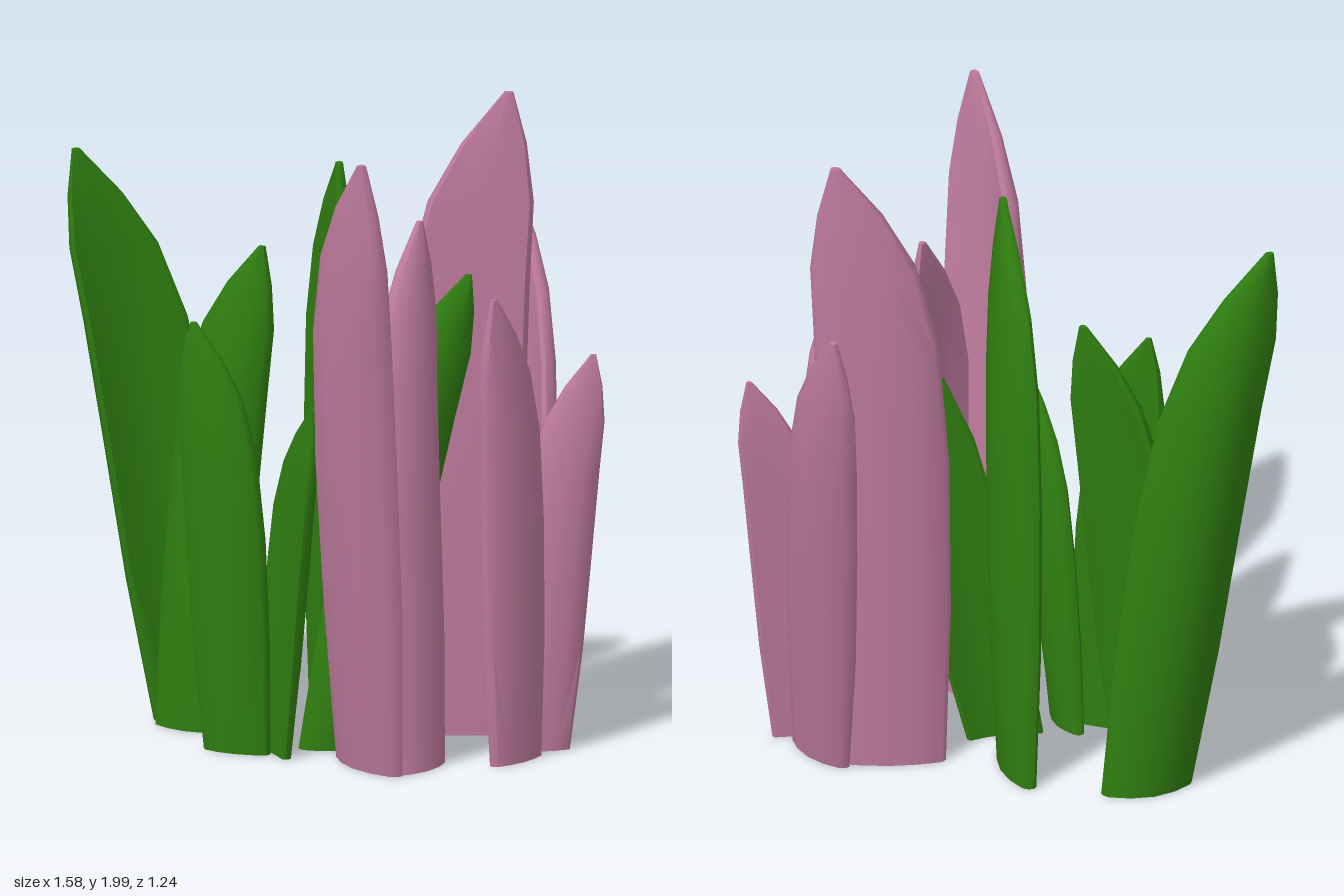
import * as THREE from 'three';
import { toCreasedNormals } from 'three/addons/utils/BufferGeometryUtils.js';

const V = (x, y, z) => new THREE.Vector3(x, y, z);

// height fraction, relative width, relative thickness, relative bow
const RINGS = [
  [0, 0.84, 0.7, 0.45], [0.25, 0.97, 0.95, 0.85], [0.5, 1, 1, 1], [0.7, 0.95, 1, 0.9],
  [0.83, 0.81, 0.85, 0.55], [0.92, 0.5, 0.6, 0.25], [1, 0.07, 0.25, 0],
];
const ACROSS = [-1, -0.92, -0.5, 0, 0.5, 0.92, 1];

// One blade: crescent sections swept from base to an off-centre tip.
// base and width are [x, z]; tip is [x, y, z]; skew moves the tip along the width;
// bulge is the side the convex face looks towards; bow is how strongly it curves.
function bladeGeometry({ base, tip, width, skew, bulge, bow = 0.15 }) {
  const wide = V(width[0], 0, width[1]);
  const out = V(-width[1], 0, width[0]).normalize();
  if (out.x * bulge[0] + out.z * bulge[1] < 0) out.negate();
  const foot = V(base[0], 0.01, base[1]);
  const top = V(...tip).addScaledVector(wide, -skew);
  const depth = bow * wide.length(), thick = 0.02 + 0.2 * wide.length();

  const rings = RINGS.map(([t, w, d, b]) => {
    const k = Math.max(0, (t - 0.55) / 0.45);
    const mid = foot.clone().lerp(top, t).addScaledVector(wide, skew * k * k);
    const point = (u, side) => {
      const curve = depth * b * (0.65 - u * u);
      const skin = side * thick * d * 0.5 * (Math.abs(u) === 1 ? 0.25 : 1 - 0.4 * u * u);
      return mid.clone().addScaledVector(wide, u * w / 2).addScaledVector(out, curve + skin);
    };
    return [...ACROSS.map(u => point(u, 1)), ...ACROSS.slice().reverse().map(u => point(u, -1))];
  });

  const n = rings[0].length, pos = [], index = [];
  rings.forEach(r => r.forEach(p => pos.push(p.x, p.y, p.z)));
  // the section's winding depends on which way the bulge faces
  const flip = wide.clone().cross(out).y > 0;
  const tri = (a, b, c) => index.push(a, ...(flip ? [c, b] : [b, c]));
  for (let r = 0; r < rings.length - 1; r++) {
    for (let i = 0; i < n; i++) {
      const a = r * n + i, b = r * n + (i + 1) % n;
      tri(a, b, b + n);
      tri(a, b + n, a + n);
    }
  }
  // end caps
  const last = (rings.length - 1) * n;
  for (let i = 0; i < n / 2 - 1; i++) {
    const a = i, b = i + 1, c = n - 2 - i, d = n - 1 - i;
    tri(a, c, b); tri(a, d, c);
    tri(last + a, last + b, last + c); tri(last + a, last + c, last + d);
  }
  const geo = new THREE.BufferGeometry();
  geo.setAttribute('position', new THREE.Float32BufferAttribute(pos, 3));
  geo.setIndex(index);
  return toCreasedNormals(geo, 0.75);
}

const GREEN_BLADES = [
  { base: [-0.46, -0.02], tip: [-0.77, 1.78, 0.18], width: [0.24, -0.24], skew: -0.32, bulge: [-1, -1], bow: 0.26 },
  { base: [-0.41, 0.13], tip: [-0.23, 1.5, 0.01], width: [0.29, 0.01], skew: 0.35, bulge: [0, 1], bow: 0.2 },
  { base: [-0.16, 0.32], tip: [-0.3, 1.33, 0.33], width: [0.25, -0.02], skew: -0.25, bulge: [0, 1], bow: 0.1 },
  { base: [-0.05, 0.28], tip: [0.13, 1.12, 0.39], width: [0.17, 0.13], skew: 0.35, bulge: [1, -1] },
  { base: [-0.04, -0.06], tip: [0.08, 1.82, 0.11], width: [0.23, 0.27], skew: 0.3, bulge: [1, -1] },
  { base: [0.09, 0.14], tip: [0.41, 1.46, -0.1], width: [0.22, -0.17], skew: 0.3, bulge: [1, 1], bow: 0.24 },
];
const PINK_BLADES = [
  { base: [0.27, 0.3], tip: [0.4, 1.96, 0.6], width: [0.33, 0.19], skew: 0.35, bulge: [-1, 1], bow: 0.18 },
  { base: [0.42, 0.26], tip: [0.32, 1.65, 0.05], width: [-0.07, 0.27], skew: -0.35, bulge: [1, 0], bow: 0.18 },
  { base: [0.64, 0.04], tip: [0.63, 1.47, 0.17], width: [-0.07, 0.24], skew: 0.3, bulge: [1, 0], bow: 0.1 },
  { base: [0.64, -0.11], tip: [0.76, 1.22, -0.24], width: [0.19, -0.12], skew: 0.3, bulge: [1, 1], bow: 0.1 },
  { base: [0.325, -0.165], tip: [0.47, 2, -0.25], width: [0.35, -0.18], skew: 0.32, bulge: [-1, -1], bow: 0.05 },
  { base: [0.54, -0.21], tip: [0.31, 1.61, -0.61], width: [0.27, 0.15], skew: -0.25, bulge: [1, -1], bow: 0.18 },
];

export function createModel() {
  const model = new THREE.Group();
  model.name = 'leafClumps';
  const clump = (name, leafName, color, blades) => {
    const material = new THREE.MeshStandardMaterial({ color });
    material.name = name + 'Colour';
    const group = new THREE.Group();
    group.name = name;
    blades.forEach((blade, i) => {
      const mesh = new THREE.Mesh(bladeGeometry(blade), material);
      mesh.name = leafName + (i + 1);
      group.add(mesh);
    });
    model.add(group);
  };
  clump('greenClump', 'greenLeaf', 0x2f7d10, GREEN_BLADES);
  clump('pinkClump', 'pinkLeaf', 0xbd7a9c, PINK_BLADES);
  return model;
}
